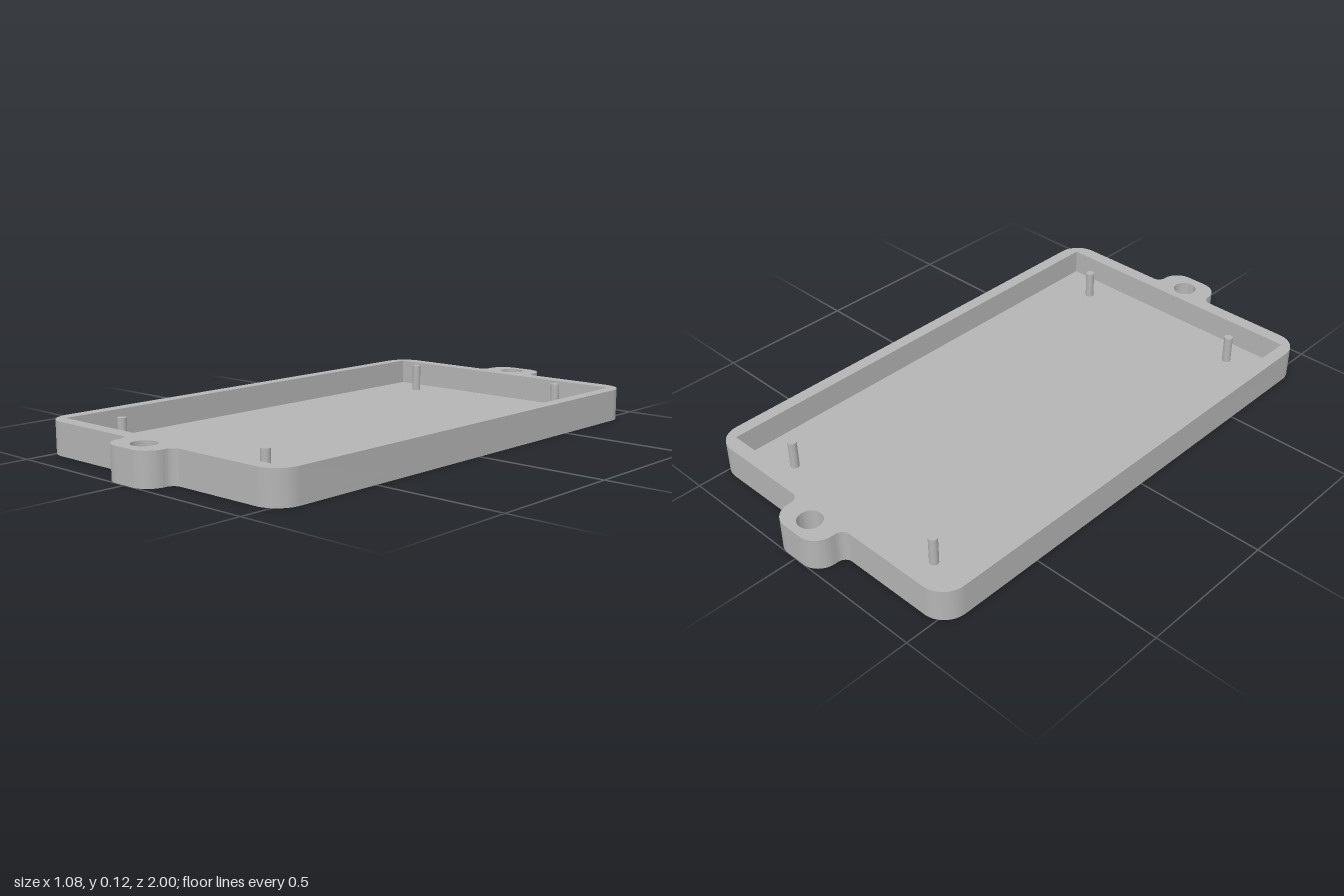
import * as THREE from 'three';
import { toCreasedNormals } from 'three/addons/utils/BufferGeometryUtils.js';

const FLOOR = 0.022, RIM = 0.113, PIN_TOP = 0.122;
const HALF_W = 0.54, FRONT = 0.9, BACK = 0.89;   // body extents
const CORNER = 0.085, TAB_W = 0.105, TAB_R = 0.068, FILLET = 0.03;
const HOLES = [-0.922, 0.93];                    // in shape y, which is -z

// Rounded tray outline with a filleted mounting tab at each end
function outline() {
  const s = new THREE.Shape(), P = Math.PI;
  const fx = TAB_W + FILLET, tx = TAB_W - TAB_R, ty = 1 - TAB_R, cx = HALF_W - CORNER;
  // front tab
  s.moveTo(-fx, -FRONT);
  s.absarc(-fx, -FRONT - FILLET, FILLET, P / 2, 0, true);
  s.absarc(-tx, -ty, TAB_R, P, 1.5 * P, false);
  s.absarc(tx, -ty, TAB_R, 1.5 * P, 2 * P, false);
  s.absarc(fx, -FRONT - FILLET, FILLET, P, P / 2, true);
  // left corners
  s.absarc(cx, -FRONT + CORNER, CORNER, 1.5 * P, 2 * P, false);
  s.absarc(cx, BACK - CORNER, CORNER, 0, P / 2, false);
  // back tab
  s.absarc(fx, BACK + FILLET, FILLET, 1.5 * P, P, true);
  s.absarc(tx, ty, TAB_R, 0, P / 2, false);
  s.absarc(-tx, ty, TAB_R, P / 2, P, false);
  s.absarc(-fx, BACK + FILLET, FILLET, 0, -P / 2, true);
  // right corners
  s.absarc(-cx, BACK - CORNER, CORNER, P / 2, P, false);
  s.absarc(-cx, -FRONT + CORNER, CORNER, P, 1.5 * P, false);
  s.closePath();
  return s;
}

function addScrewHoles(shape, radius) {
  for (const y of HOLES) {
    shape.holes.push(new THREE.Path().absarc(0, y, radius, 0, Math.PI * 2, true));
  }
}

// Extrude upward between two heights, keeping the rims sharp
function slab(shape, y0, y1) {
  const g = new THREE.ExtrudeGeometry(shape, { depth: y1 - y0, bevelEnabled: false, curveSegments: 16 });
  g.rotateX(-Math.PI / 2);
  g.translate(0, y0, 0);
  return toCreasedNormals(g, 0.6);
}

export function createModel() {
  const group = new THREE.Group();
  group.name = 'enclosureTray';
  const grey = new THREE.MeshStandardMaterial({ color: 0xb4b4b4 });
  grey.name = 'grey plastic';
  const add = (name, geometry) => {
    const mesh = new THREE.Mesh(geometry, grey);
    mesh.name = name;
    group.add(mesh);
    return mesh;
  };

  // Floor plate with the narrow screw holes
  const floor = outline();
  addScrewHoles(floor, 0.034);
  add('floor', slab(floor, 0, FLOOR));

  // Walls around the rectangular cavity, with the wider screw bores
  const walls = outline();
  addScrewHoles(walls, 0.042);
  walls.holes.push(new THREE.Path([
    new THREE.Vector2(-0.495, -0.85), new THREE.Vector2(-0.495, 0.84),
    new THREE.Vector2(0.495, 0.84), new THREE.Vector2(0.495, -0.85),
  ]));
  add('walls', slab(walls, FLOOR, RIM));

  // Four locating pins
  const pin = new THREE.CylinderGeometry(0.0155, 0.0155, PIN_TOP - FLOOR, 24);
  for (const x of [-0.334, 0.334]) {
    for (const z of [-0.735, 0.748]) {
      add('locatingPin', pin).position.set(x, (PIN_TOP + FLOOR) / 2, z);
    }
  }
  return group;
}
